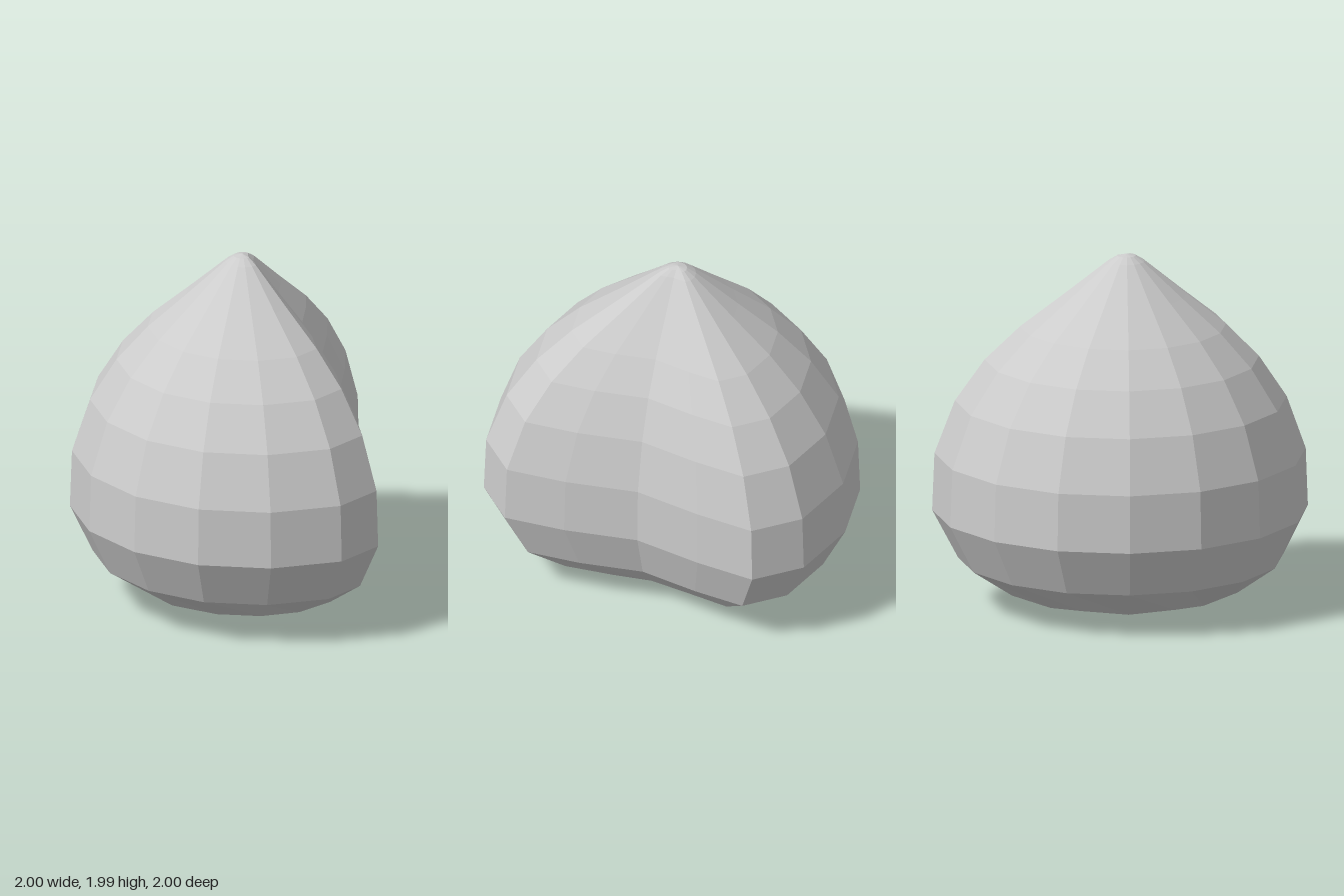
import * as THREE from 'three';

const SIDES = 16;
const AXIS = -0.02; // x and z of the axis through the tip

// Plan outline: a 16-sided circle with a concave groove at the front left
function outline() {
  const groove = { 4: [1.0, -0.05], 5: [0.74, 0.17], 6: [0.42, 0.4], 7: [0.18, 0.74], 8: [-0.05, 1.0] };
  const points = [];
  for (let i = 0; i < SIDES; i++) {
    const a = (i / SIDES) * Math.PI * 2;
    const [x, z] = groove[i] ?? [0.04 + 1.04 * Math.sin(a), 0.04 - 1.04 * Math.cos(a)];
    points.push([x - AXIS, z - AXIS]);
  }
  return points;
}

// Rings from base to tip: [height, scale], optionally [height, scale] for odd corners
const RINGS = [
  [0, 0],
  [0.103, 0.65, 0.073, 0.575],
  [0.255, 0.867],
  [0.525, 1],
  [0.85, 0.988],
  [1.15, 0.883],
  [1.385, 0.73],
  [1.575, 0.548],
  [1.755, 0.33],
  [1.95, 0.1],
  [1.982, 0.05],
  [1.993, 0],
];

function bodyGeometry() {
  const plan = outline();
  const corner = (r, i) => {
    const j = i % SIDES;
    const [y, s, oddY = y, oddS = s] = RINGS[r];
    const scale = j % 2 ? oddS : s;
    return [AXIS + plan[j][0] * scale, j % 2 ? oddY : y, AXIS + plan[j][1] * scale];
  };
  const positions = [];
  const last = RINGS.length - 1;
  for (let r = 0; r < last; r++) {
    for (let i = 0; i < SIDES; i++) {
      const a = corner(r, i), b = corner(r, i + 1);
      const c = corner(r + 1, i), d = corner(r + 1, i + 1);
      if (r < last - 1) positions.push(...a, ...c, ...d);
      else positions.push(...a, ...c, ...b);
      if (r > 0 && r < last - 1) positions.push(...a, ...d, ...b);
    }
  }
  const geometry = new THREE.BufferGeometry();
  geometry.setAttribute('position', new THREE.Float32BufferAttribute(positions, 3));
  geometry.computeVertexNormals();
  return geometry;
}

export function createModel() {
  const group = new THREE.Group();
  group.name = 'groovedBulb';
  const body = new THREE.Mesh(
    bodyGeometry(),
    new THREE.MeshStandardMaterial({ color: 0xcccccc, flatShading: true })
  );
  body.name = 'bulbBody';
  group.add(body);
  return group;
}
